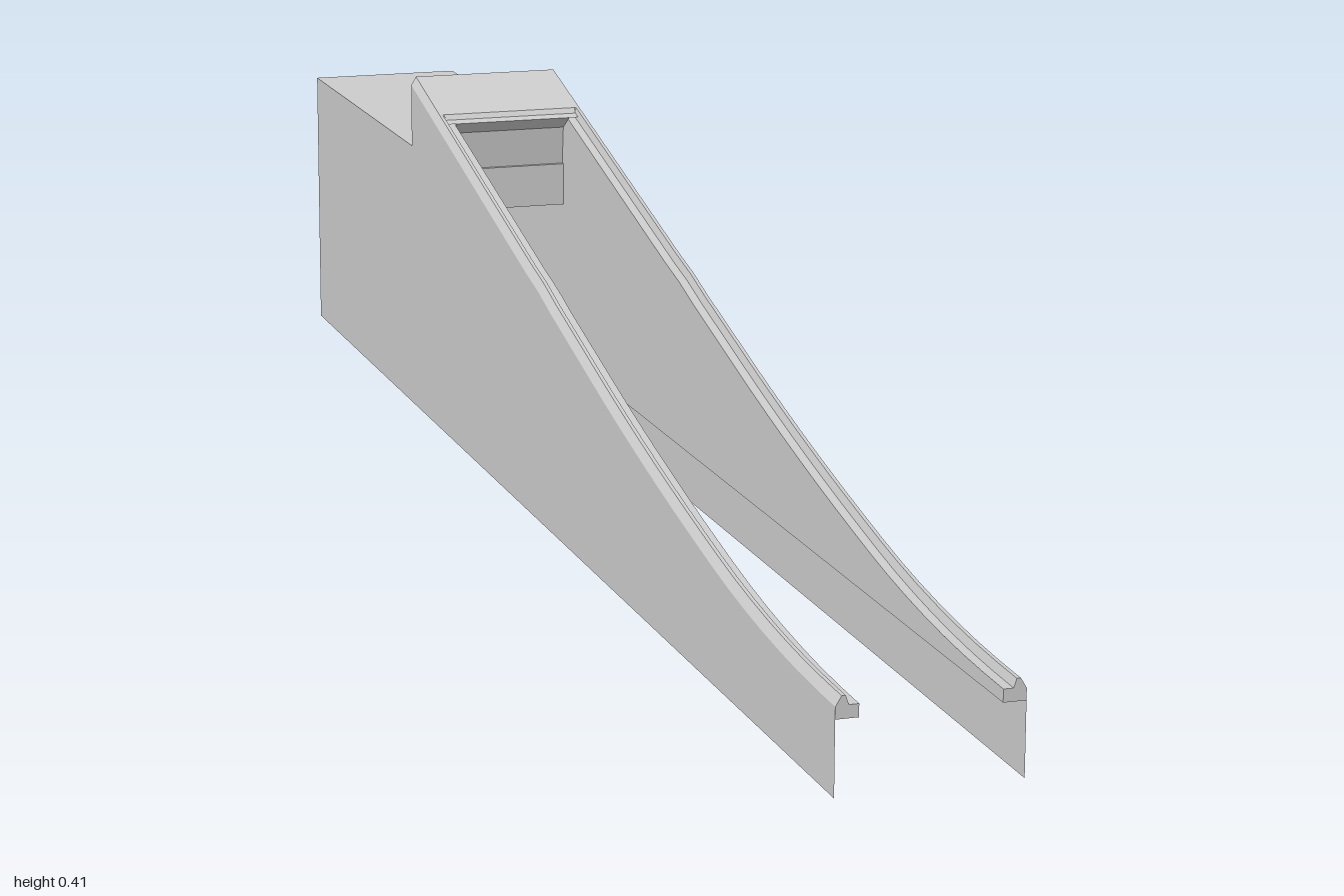
import * as THREE from 'three';

const OUT = 0.093, IN = 0.07, BEVEL = 0.087; // half widths
const LOW = 0.075;   // bottom of the inner walls
const DECK = 0.325, SHELF = 0.262;
const CAP_Z = -0.39, STEP_Z = -0.5;

const material = new THREE.MeshStandardMaterial({
  color: 0xcccccc, flatShading: true, side: THREE.DoubleSide,
});

// Skin a row of cross-sections that share the same point count
function loft(name, sections) {
  const pos = [];
  for (let i = 0; i < sections.length - 1; i++) {
    const s = sections[i], n = sections[i + 1];
    for (let j = 0; j < s.length - 1; j++) {
      pos.push(...s[j], ...n[j], ...n[j + 1], ...s[j], ...n[j + 1], ...s[j + 1]);
    }
  }
  const g = new THREE.BufferGeometry();
  g.setAttribute('position', new THREE.Float32BufferAttribute(pos, 3));
  g.computeVertexNormals();
  const mesh = new THREE.Mesh(g, material);
  mesh.name = name;
  return mesh;
}

// Sweep an x-y profile through several z positions
const alongZ = (name, zs, profile) =>
  loft(name, zs.map(z => profile(z).map(([x, y]) => [x, y, z])));

// Stretch a z-y profile across the width
const acrossX = (name, half, profile) =>
  loft(name, [half, -half].map(x => profile.map(([z, y]) => [x, y, z])));

// Flat end plate in the x-y plane
function endPlate(name, z, points, facing) {
  const g = new THREE.ShapeGeometry(new THREE.Shape(points.map(p => new THREE.Vector2(...p))));
  if (facing < 0) g.rotateY(Math.PI);
  const mesh = new THREE.Mesh(g, material);
  mesh.name = name;
  mesh.position.z = z;
  return mesh;
}

// Height of the rail: a gentle curve that runs into a straight slope
const curve = new THREE.SplineCurve([
  [1, 0.097], [0.9, 0.1], [0.8, 0.108], [0.7, 0.121], [0.6, 0.139], [0.5, 0.159],
  [0.4, 0.181], [0.3, 0.205], [0.2, 0.231], [0.1, 0.257], [0, 0.283],
].map(p => new THREE.Vector2(...p)));
function top(z) {
  if (z <= 0) return 0.283 - 0.254 * z;
  return curve.getPoint(1 - z).y;
}

export function createModel() {
  const model = new THREE.Group();
  model.name = 'slopedHousing';

  const railZ = [];
  for (let i = 0; i <= 20; i++) railZ.push(1 - i * 0.05);
  railZ.push(CAP_Z);

  // Side walls with a bevelled, stepped rail on the top edge
  for (const side of [1, -1]) {
    const tag = side > 0 ? 'left' : 'right';
    const mirror = pts => {
      const m = pts.map(([x, y]) => [side * x, y]);
      return side > 0 ? m : m.reverse();
    };
    const rail = z => {
      const t = top(z);
      return [[OUT, t - 0.01], [BEVEL, t], [0.083, t], [0.08, t - 0.009], [IN, t - 0.009], [IN, LOW]];
    };
    model.add(alongZ(tag + 'RailWall', railZ, z => mirror([[OUT, 0], ...rail(z)])));
    model.add(endPlate(tag + 'FrontEnd', 1, mirror([[OUT, LOW], ...rail(1)]), 1));

    // Inner wall running on inside the rear box
    model.add(alongZ(tag + 'InnerWall', [CAP_Z, STEP_Z, -1], z => mirror(
      [[IN, z === CAP_Z ? top(z) - 0.009 : DECK], [IN, LOW]])));
    model.add(endPlate(tag + 'BackEnd', -1,
      mirror([[IN, LOW], [OUT, LOW], [OUT, DECK], [IN, DECK]]).map(([x, y]) => [-x, y]), -1));
  }

  // Raised cap where the rails meet
  const capTop = z => {
    const t = top(z);
    return [[OUT, t - 0.01], [BEVEL, t], [-BEVEL, t], [-OUT, t - 0.01]];
  };
  model.add(alongZ('cap', [CAP_Z, STEP_Z], z => [[OUT, 0], ...capTop(z), [-OUT, 0]]));
  model.add(endPlate('capBack', STEP_Z, [[OUT, DECK], ...capTop(STEP_Z), [-OUT, DECK]], -1));

  // Stepped lip and recessed panel under the cap
  model.add(acrossX('capLip', 0.081, [
    [CAP_Z, top(CAP_Z)], [-0.386, 0.376], [-0.375, 0.373],
  ]));
  model.add(acrossX('recessedPanel', IN, [
    [-0.375, 0.373], [-0.4, 0.357], [-0.405, 0.312], [-0.4, 0.312], [-0.4, SHELF],
  ]));

  // Rear box: outer walls and deck, with an inner shelf
  model.add(alongZ('rearBox', [STEP_Z, -1], () =>
    [[OUT, 0], [OUT, DECK], [-OUT, DECK], [-OUT, 0]]));
  model.add(acrossX('innerShelf', IN, [[-1, SHELF], [-0.4, SHELF]]));

  return model;
}
